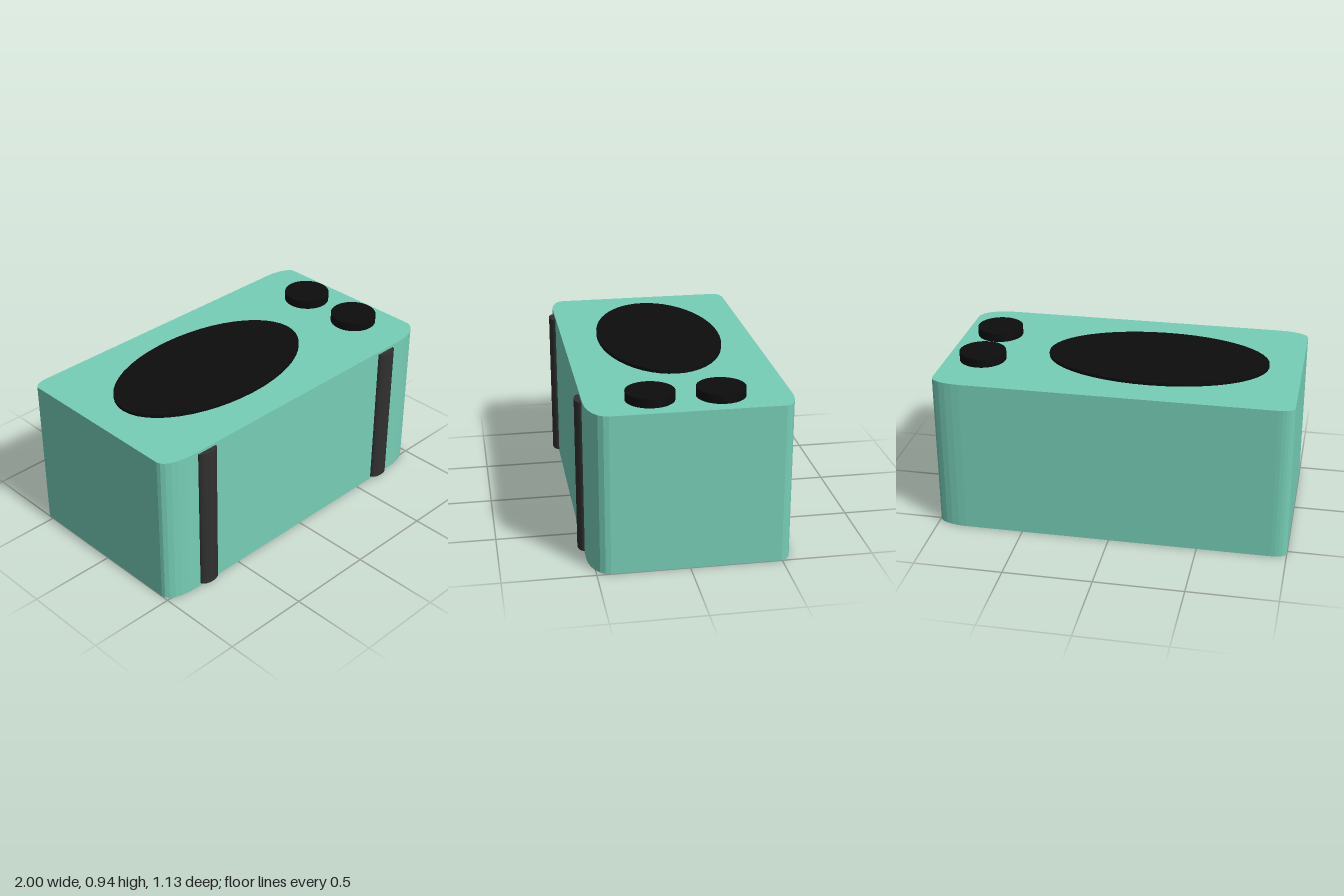
import * as THREE from 'three';

const BODY_H = 0.892, FRONT = 0.534, BACK = -0.567;

function mat(color) {
  return new THREE.MeshStandardMaterial({ color });
}

// Upright elliptical cylinder standing on y
function disc(name, x, y, z, rx, rz, h, segments, material) {
  const geo = new THREE.CylinderGeometry(1, 1, h, segments);
  geo.scale(rx, 1, rz);
  const mesh = new THREE.Mesh(geo, material);
  mesh.name = name;
  mesh.position.set(x, y + h / 2, z);
  return mesh;
}

// Plan outline, shape y = model z, each corner a quarter ellipse
function bodyOutline() {
  const corners = [
    { sx: 1, sz: 1, rx: 0.2, rz: 0.11, start: 0 },
    { sx: -1, sz: 1, rx: 0.17, rz: 0.08, start: 0.5 },
    { sx: -1, sz: -1, rx: 0.085, rz: 0.045, start: 1 },
    { sx: 1, sz: -1, rx: 0.17, rz: 0.07, start: 1.5 },
  ];
  const points = [];
  const steps = 6;
  for (const { sx, sz, rx, rz, start } of corners) {
    const cx = sx * (1 - rx);
    const cz = sz > 0 ? FRONT - rz : BACK + rz;
    for (let i = 0; i <= steps; i++) {
      const a = (start + (0.5 * i) / steps) * Math.PI;
      points.push(new THREE.Vector2(cx + rx * Math.cos(a), cz + rz * Math.sin(a)));
    }
  }
  return new THREE.Shape(points);
}

export function createModel() {
  const group = new THREE.Group();
  const teal = mat(0x76ceb6), black = mat(0x0d0d0d), charcoal = mat(0x303030);

  // Case with rounded vertical corners
  const bodyGeo = new THREE.ExtrudeGeometry(bodyOutline(), { depth: BODY_H, bevelEnabled: false });
  bodyGeo.rotateX(Math.PI / 2);
  bodyGeo.translate(0, BODY_H, 0);
  const body = new THREE.Mesh(bodyGeo, teal);
  body.name = 'body';
  group.add(body);

  // Large oval panel on the top
  group.add(disc('ovalPanel', -0.187, BODY_H - 0.02, -0.023, 0.629, 0.355, 0.038, 48, black));

  // Two round knobs
  for (const [name, z] of [['frontKnob', 0.183], ['backKnob', -0.193]]) {
    group.add(disc(name, 0.795, BODY_H - 0.02, z, 0.132, 0.132, 0.07, 48, black));
  }

  // Vertical rounded strips on the front
  for (const [name, x] of [['rightStrip', -0.725], ['leftStrip', 0.684]]) {
    group.add(disc(name, x, 0.015, FRONT - 0.002, 0.063, 0.035, 0.861, 32, charcoal));
  }

  return group;
}
